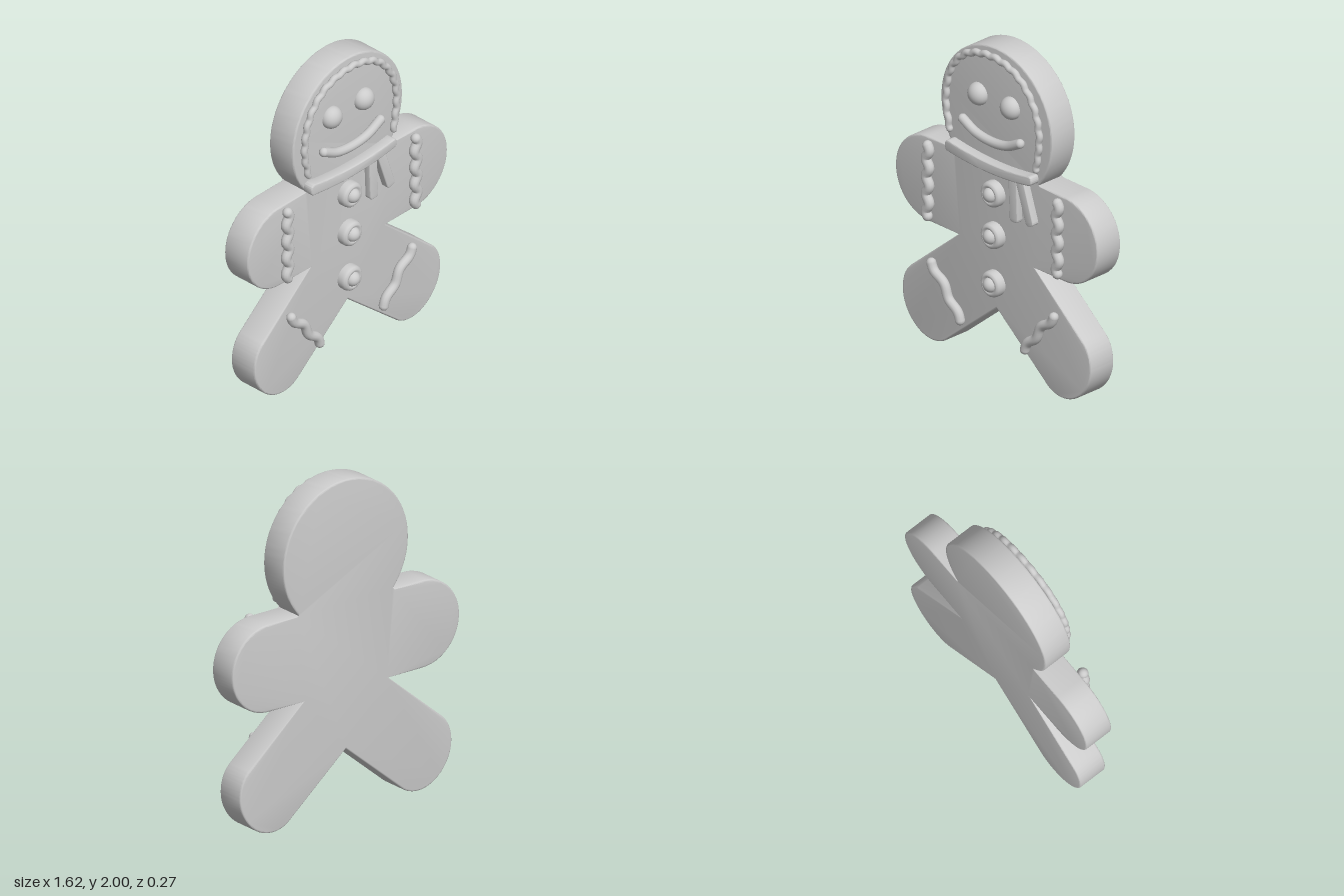
import * as THREE from 'three';
import { toCreasedNormals } from 'three/addons/utils/BufferGeometryUtils.js';

const icing = new THREE.MeshStandardMaterial({ color: 0xcccccc });
const FACE = 0.05; // z of the cookie's front face

function mesh(name, geometry) {
  const m = new THREE.Mesh(geometry, icing);
  m.name = name;
  return m;
}

// Extruded plate between two depths with softened edges
function slab(name, shape, z0, z1, bevel) {
  const g = new THREE.ExtrudeGeometry(shape, {
    depth: z1 - z0 - 2 * bevel, curveSegments: 20, bevelEnabled: true,
    bevelThickness: bevel, bevelSize: bevel, bevelOffset: -bevel, bevelSegments: 3,
  });
  g.translate(0, 0, z0 + bevel);
  return mesh(name, toCreasedNormals(g, 0.65));
}

// Round-ended icing line along a flat curve, optionally wavy
function piping(name, points, radius, z, amp = 0, waves = 0) {
  const base = new THREE.CatmullRomCurve3(points.map(([x, y]) => new THREE.Vector3(x, y, z)));
  const n = Math.max(24, waves * 8);
  const pts = [];
  for (let i = 0; i <= n; i++) {
    const t = base.getTangentAt(i / n);
    const off = amp * Math.sin((i / n) * waves * Math.PI * 2);
    pts.push(base.getPointAt(i / n).add(new THREE.Vector3(-t.y * off, t.x * off, 0)));
  }
  const group = new THREE.Group();
  group.name = name;
  const path = new THREE.CatmullRomCurve3(pts);
  group.add(mesh(name + 'Line', new THREE.TubeGeometry(path, n * 2, radius, 12)));
  for (const p of [pts[0], pts[n]]) {
    const cap = mesh(name + 'End', new THREE.SphereGeometry(radius, 12, 10));
    cap.position.copy(p);
    group.add(cap);
  }
  return group;
}

// Cookie outline: right half drawn, left half mirrored
function cookieShape() {
  const half = new THREE.Path();
  const neck = Math.atan2(1.26 - 1.555, 0.333);
  half.moveTo(0, 0.38);
  half.lineTo(0.4, 0.045);
  half.quadraticCurveTo(0.45, 0.003, 0.52, 0.003);
  half.bezierCurveTo(0.65, 0.003, 0.755, 0.13, 0.755, 0.25);
  half.quadraticCurveTo(0.755, 0.35, 0.69, 0.41);
  half.lineTo(0.306, 0.735);
  half.lineTo(0.547, 0.735);
  half.absarc(0.547, 0.9975, 0.2625, -Math.PI / 2, Math.PI / 2, false);
  half.lineTo(0.333, 1.26);
  half.absarc(0, 1.555, 0.445, neck, Math.PI / 2, false);
  const right = half.getPoints(20);
  const left = right.slice(1, -1).reverse().map((p) => new THREE.Vector2(-p.x, p.y));
  return new THREE.Shape([...right, ...left]);
}

function scarfShape() {
  const s = new THREE.Shape();
  s.moveTo(-0.34, 1.265);
  s.quadraticCurveTo(0, 1.215, 0.315, 1.27);
  s.quadraticCurveTo(0.345, 1.28, 0.335, 1.315);
  s.quadraticCurveTo(0.33, 1.335, 0.3, 1.326);
  s.quadraticCurveTo(0, 1.28, -0.32, 1.332);
  s.quadraticCurveTo(-0.355, 1.335, -0.355, 1.3);
  s.quadraticCurveTo(-0.355, 1.27, -0.34, 1.265);
  return s;
}

// Scarf tail from top to bottom centre, with rounded lower corners
function tailShape(x0, y0, x1, y1, w) {
  const d = new THREE.Vector2(x1 - x0, y1 - y0).normalize();
  const at = (along, side) => [x1 + d.x * along - d.y * side, y1 + d.y * along + d.x * side];
  const s = new THREE.Shape();
  s.moveTo(x0 + d.y * w, y0 - d.x * w);
  s.lineTo(...at(-0.025, -w));
  s.quadraticCurveTo(...at(0, -w), ...at(0, -w + 0.02));
  s.lineTo(...at(0, w - 0.02));
  s.quadraticCurveTo(...at(0, w), ...at(-0.025, w));
  s.lineTo(x0 - d.y * w, y0 + d.x * w);
  s.closePath();
  return s;
}

// Icing ring with a domed sweet in the middle
function button(y) {
  const group = new THREE.Group();
  group.name = 'button';
  const ring = [[0.078, 0], [0.078, 0.03], [0.073, 0.046], [0.062, 0.056], [0.05, 0.056], [0.042, 0.048], [0, 0.046]];
  const base = mesh('buttonRing', new THREE.LatheGeometry(ring.map(([r, h]) => new THREE.Vector2(r, h)), 32));
  const dome = mesh('buttonDome', new THREE.SphereGeometry(0.045, 24, 16));
  dome.position.y = 0.04;
  group.add(base, dome);
  group.rotation.x = Math.PI / 2;
  group.position.set(-0.005, y, FACE);
  return group;
}

export function createModel() {
  const model = new THREE.Group();
  model.name = 'gingerbreadCookie';
  model.add(slab('cookie', cookieShape(), -0.133, FACE, 0.01));

  // Face
  for (const x of [-0.138, 0.122]) {
    const eye = mesh('eye', new THREE.SphereGeometry(0.068, 28, 18));
    eye.scale.z = 0.88;
    eye.position.set(x, 1.673, 0.054);
    model.add(eye);
  }
  model.add(piping('mouth', [[-0.232, 1.496], [-0.13, 1.447], [0, 1.43], [0.125, 1.447], [0.225, 1.496]], 0.028, 0.086));

  // Hairline icing around the head
  model.add(piping('hairTrim', [
    [-0.347, 1.39], [-0.378, 1.56], [-0.34, 1.76], [-0.22, 1.9], [-0.02, 1.955],
    [0.18, 1.91], [0.31, 1.78], [0.368, 1.6], [0.345, 1.37],
  ], 0.02, 0.076, 0.005, 20));

  // Scarf
  model.add(slab('scarf', scarfShape(), 0.04, 0.11, 0.008));
  model.add(slab('scarfTailInner', tailShape(0.165, 1.27, 0.177, 0.99, 0.032), 0.04, 0.09, 0.006));
  model.add(slab('scarfTailOuter', tailShape(0.222, 1.28, 0.312, 1.012, 0.031), 0.04, 0.095, 0.006));

  // Buttons
  for (const y of [1.1, 0.84, 0.54]) model.add(button(y));

  // Sleeve and trouser icing
  for (const s of [-1, 1]) {
    model.add(piping('sleeveTrim', [[s * 0.52, 1.225], [s * 0.52, 1.0], [s * 0.52, 0.785]], 0.03, 0.08, 0.013, 4));
    model.add(piping('legTrim', [[s * 0.49, 0.505], [s * 0.37, 0.37], [s * 0.26, 0.225]], 0.029, 0.08, 0.012 * s, 2));
  }
  return model;
}
